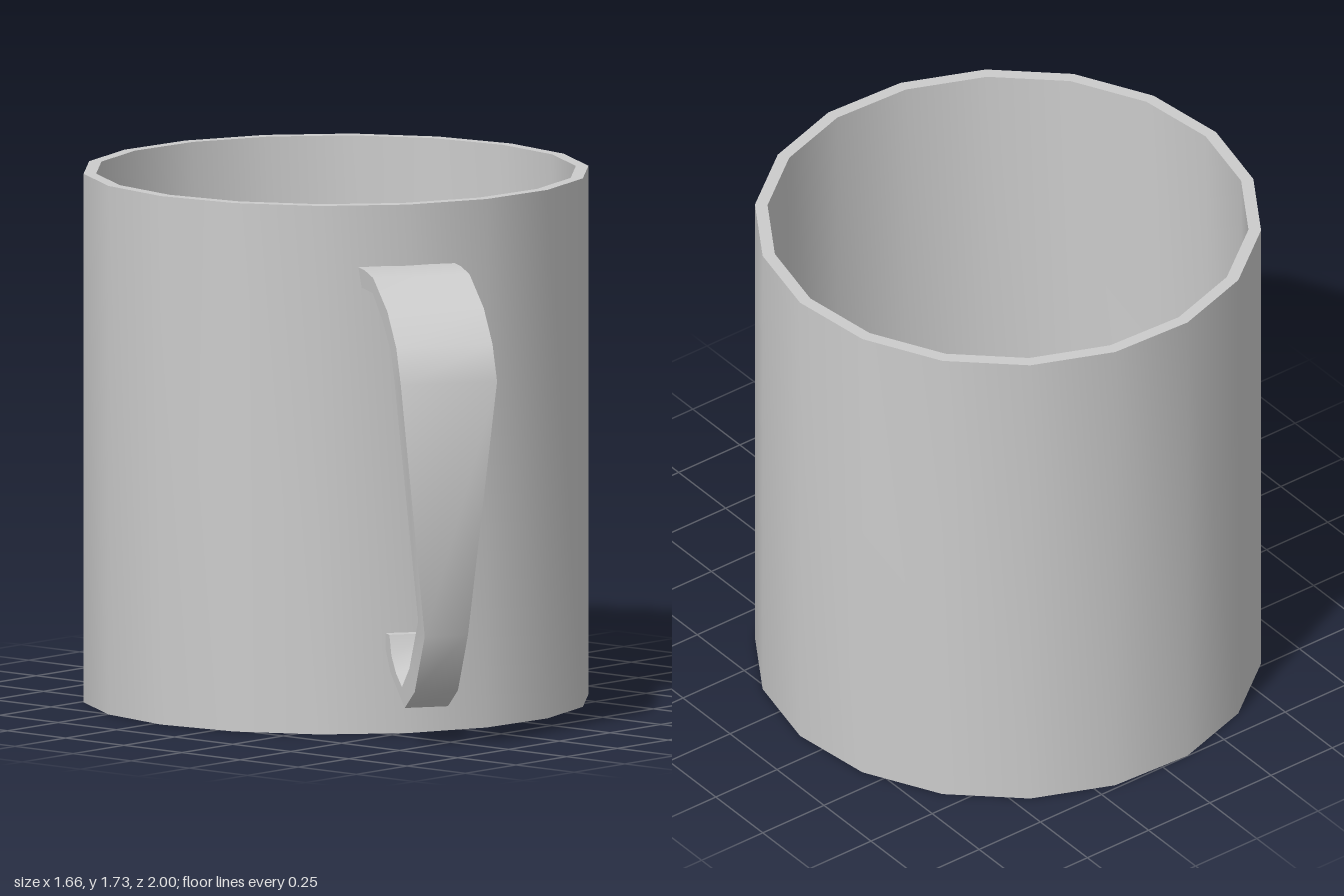
import * as THREE from 'three';
import { toCreasedNormals } from 'three/addons/utils/BufferGeometryUtils.js';

// Handle stations: [outer radius, outer y, inner radius, inner y, width]
const WIDE = 0.325, NARROW = 0.146;
const STATIONS = [
  [0.81, 1.53, 0.848, 1.468, WIDE],
  [0.88, 1.53, 0.91, 1.468, WIDE],
  [0.98, 1.518, 0.975, 1.468, WIDE],
  [1.144, 1.43, 1.086, 1.394, WIDE],
  [1.245, 1.326, 1.18, 1.31, WIDE],
  [1.298, 1.21, 1.222, 1.22, WIDE],
  [1.268, 0.38, 1.193, 0.422, NARROW],
  [1.153, 0.183, 1.09, 0.25, NARROW],
  [1.038, 0.115, 1.006, 0.179, NARROW],
  [0.871, 0.211, 0.938, 0.215, NARROW],
  [0.82, 0.275, 0.885, 0.265, NARROW],
  [0.82, 0.33, 0.862, 0.33, NARROW],
];

// Join rectangular cross-sections into a closed strap
function strapGeometry(stations) {
  const positions = [], index = [];
  const quad = (a, b, c, d) => index.push(a, b, c, a, c, d);
  for (const [ro, yo, ri, yi, w] of stations) {
    positions.push(w / 2, yo, ro, -w / 2, yo, ro, -w / 2, yi, ri, w / 2, yi, ri);
  }
  const last = (stations.length - 1) * 4;
  for (let i = 0; i < last; i += 4) {
    for (let k = 0; k < 4; k++) {
      const n = (k + 1) % 4;
      quad(i + k, i + n, i + 4 + n, i + 4 + k);
    }
  }
  quad(3, 2, 1, 0);
  quad(last, last + 1, last + 2, last + 3);
  const geometry = new THREE.BufferGeometry();
  geometry.setAttribute('position', new THREE.Float32BufferAttribute(positions, 3));
  geometry.setIndex(index);
  return toCreasedNormals(geometry, 0.8);
}

export function createModel() {
  const group = new THREE.Group();
  group.name = 'mug';
  const material = new THREE.MeshStandardMaterial({ color: 0xcccccc });

  // Hollow 18-sided body: base, outer wall, rim, inner wall, floor
  const R = 0.823, r = 0.782, height = 1.73, floor = 0.045;
  const profile = [[0, 0], [R, 0], [R, height], [r, height], [r, floor], [0, floor]]
    .map(([x, y]) => new THREE.Vector2(x, y));
  const body = new THREE.Mesh(
    toCreasedNormals(new THREE.LatheGeometry(profile, 18), 0.6), material);
  body.name = 'body';

  // Strap handle, tapering downwards and hooked at its lower end
  const handle = new THREE.Mesh(strapGeometry(STATIONS), material);
  handle.name = 'handle';

  group.add(body, handle);

  // Turn the handle towards the front right
  group.rotation.y = THREE.MathUtils.degToRad(-32.5);
  group.position.set(0.005, 0, -0.183);
  return group;
}
